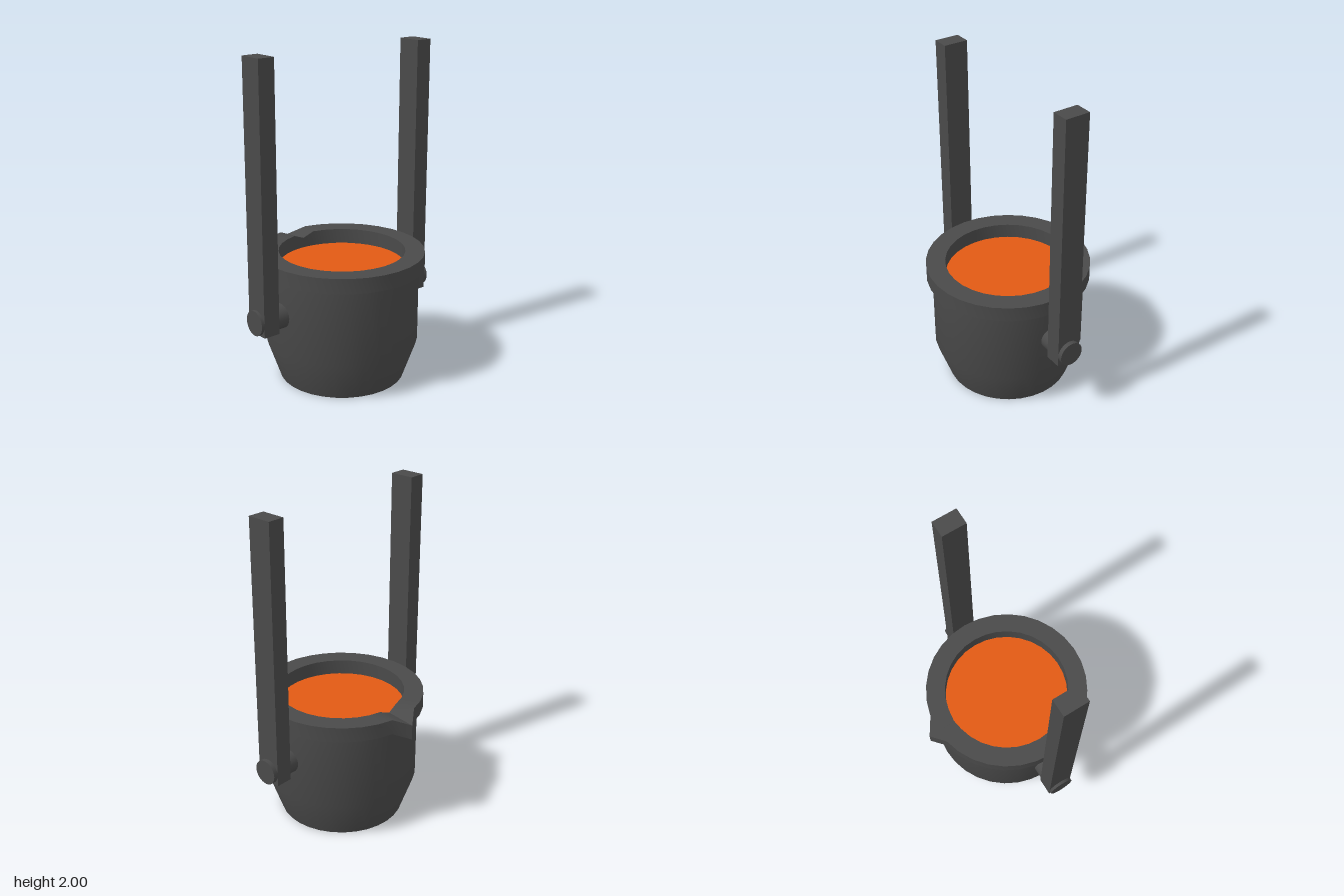
import * as THREE from 'three';
import { toCreasedNormals } from 'three/addons/utils/BufferGeometryUtils.js';

const SEGMENTS = 32;
const CENTER_X = 0.08;

export function createModel() {
  const model = new THREE.Group();
  model.name = 'pouringLadle';
  const iron = new THREE.MeshStandardMaterial({ color: 0x4a4a4a });
  const molten = new THREE.MeshStandardMaterial({ color: 0xe25a14 });

  const add = (name, geometry, material, x, y, z) => {
    const mesh = new THREE.Mesh(geometry, material);
    mesh.name = name;
    mesh.position.set(x, y, z);
    model.add(mesh);
    return mesh;
  };

  // Pot: tapered foot, straight wall, thick rim and inner wall
  const profile = [
    [0, 0], [0.38, 0], [0.462, 0.235], [0.462, 0.7],
    [0.497, 0.7], [0.497, 0.792], [0.38, 0.792], [0.38, 0.68],
  ].map(([r, y]) => new THREE.Vector2(r, y));
  const pot = new THREE.LatheGeometry(profile, SEGMENTS);

  // Spout: pull the rim's -x corner outward and down
  const pos = pot.attributes.position;
  for (let i = 0; i < pos.count; i++) {
    const x = pos.getX(i), y = pos.getY(i);
    if (Math.abs(pos.getZ(i)) > 0.001 || x > -0.3 || y < 0.69) continue;
    if (x < -0.48) {
      pos.setX(i, -0.555);
      pos.setY(i, y - 0.05);
    } else if (y > 0.75) {
      pos.setY(i, y - 0.03);
    }
  }
  add('pot', toCreasedNormals(pot, 0.5), iron, CENTER_X, 0, 0);

  // Surface of the molten metal
  const surface = new THREE.CircleGeometry(0.38, SEGMENTS).rotateX(-Math.PI / 2);
  add('moltenMetal', surface, molten, CENTER_X, 0.7, 0);

  // Hanger arms and the pivot pins that carry the pot
  const arm = new THREE.BoxGeometry(0.15, 1.585, 0.103);
  const pin = new THREE.CylinderGeometry(0.075, 0.075, 0.225, SEGMENTS).rotateX(Math.PI / 2);
  for (const [side, z] of [['front', 0.577], ['back', -0.568]]) {
    add(side + 'Arm', arm, iron, CENTER_X, 1.2075, z);
    add(side + 'Pin', pin, iron, CENTER_X, 0.488, Math.sign(z) * 0.5335);
  }
  return model;
}
